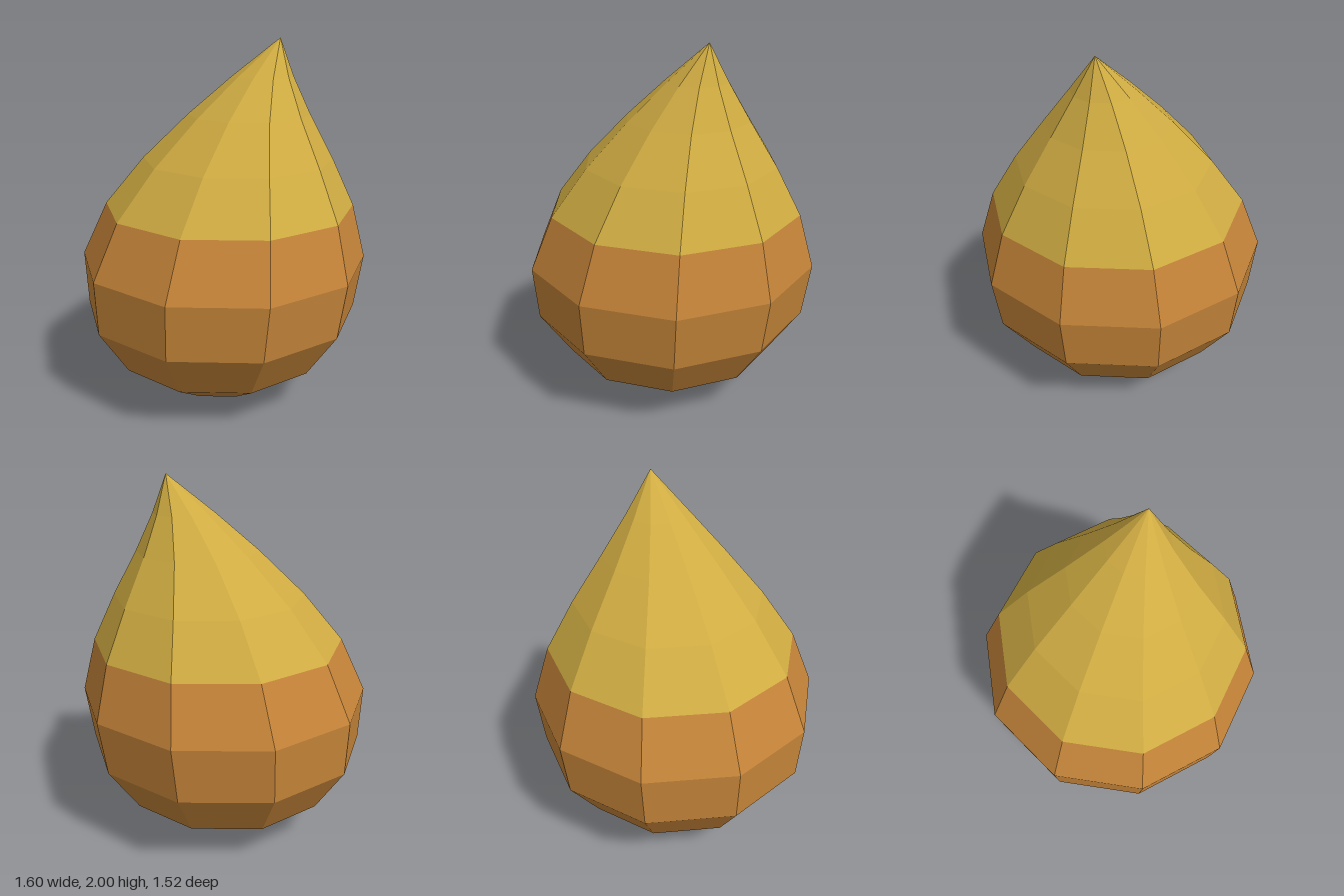
import * as THREE from 'three';

const SIDES = 10;

// Skin of flat facets through decagonal rings given as [y, radius, centreX]
function ringSkin(rings) {
  const points = [], faces = [];
  rings.forEach(([y, r, cx]) => {
    for (let i = 0; i < SIDES; i++) {
      const a = (i / SIDES) * Math.PI * 2;
      points.push(cx + r * Math.cos(a), y, r * Math.sin(a));
    }
  });
  for (let k = 0; k < rings.length - 1; k++) {
    for (let i = 0; i < SIDES; i++) {
      const j = (i + 1) % SIDES;
      const a = k * SIDES + i, b = k * SIDES + j, c = a + SIDES, d = b + SIDES;
      // a ring of zero radius is a tip, so only one triangle is needed there
      if (rings[k + 1][1] > 0) faces.push(a, c, d);
      if (rings[k][1] > 0) faces.push(a, d, b);
    }
  }
  const geometry = new THREE.BufferGeometry();
  geometry.setAttribute('position', new THREE.Float32BufferAttribute(points, 3));
  geometry.setIndex(faces);
  const flat = geometry.toNonIndexed();
  flat.computeVertexNormals();
  return flat;
}

export function createModel() {
  const brown = new THREE.MeshStandardMaterial({ color: 0xc68539, flatShading: true });
  brown.name = 'warm brown';
  const gold = new THREE.MeshStandardMaterial({ color: 0xd0ac42, flatShading: true });
  gold.name = 'gold';

  const group = new THREE.Group();
  group.name = 'drop';
  const add = (name, rings, material) => {
    const mesh = new THREE.Mesh(ringSkin(rings), material);
    mesh.name = name;
    group.add(mesh);
  };

  // Rounded lower body
  add('body', [
    [0, 0, -0.02],
    [0.06, 0.32, -0.02],
    [0.24, 0.6, -0.02],
    [0.5, 0.77, -0.015],
    [0.8, 0.8, 0],
    [1.1, 0.69, 0.033],
  ], brown);

  // Pointed cap leaning to the left
  add('cap', [
    [1.1, 0.69, 0.033],
    [1.36, 0.52, 0.08],
    [1.6, 0.33, 0.14],
    [1.8, 0.165, 0.21],
    [2, 0, 0.3],
  ], gold);

  return group;
}
